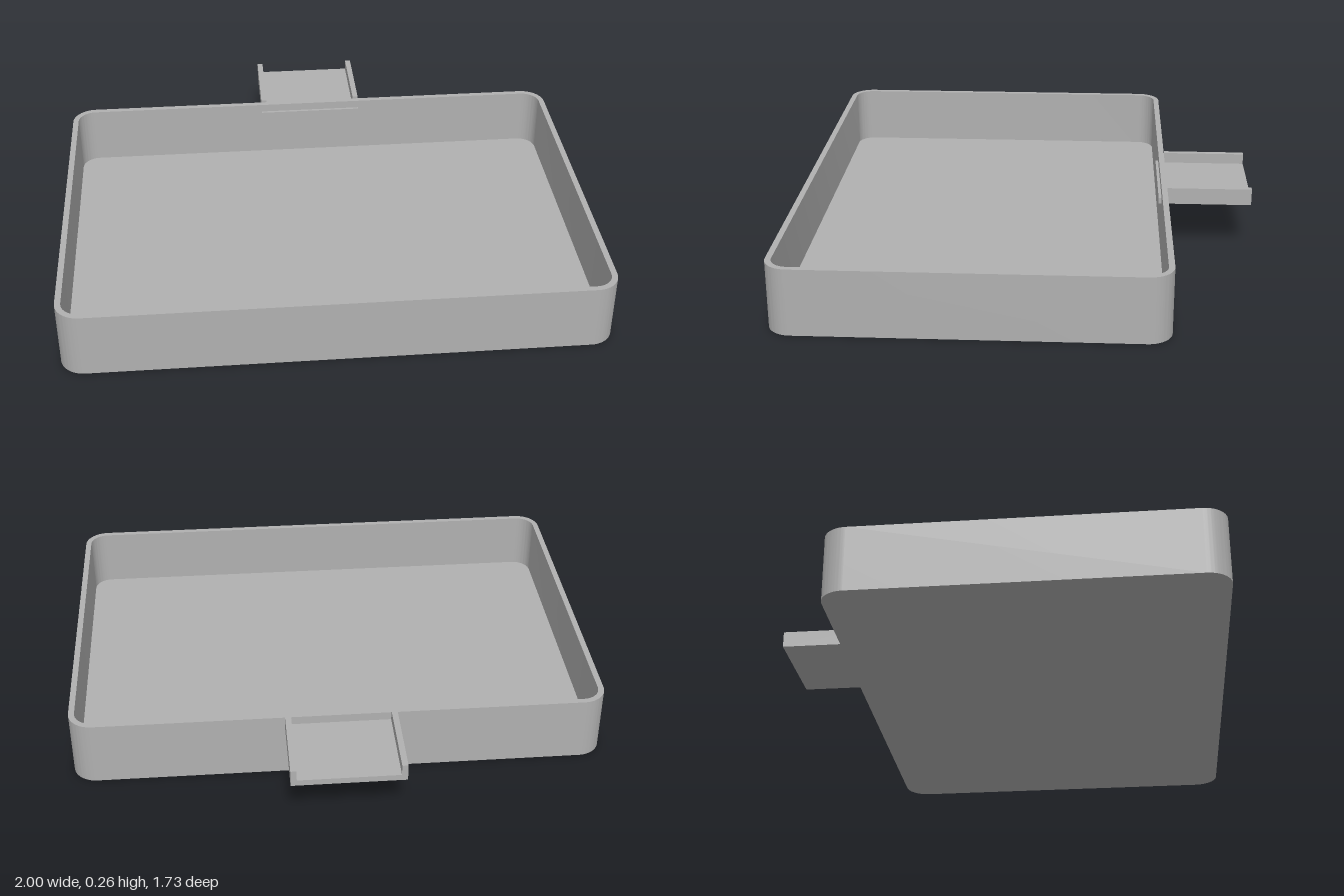
import * as THREE from 'three';
import { toCreasedNormals } from 'three/addons/utils/BufferGeometryUtils.js';

const HALF_X = 1, BACK = -0.543, FRONT = 0.863, HEIGHT = 0.25;
const RADIUS = 0.09, WALL = 0.022;

// Rounded rectangle around the tray's centre, shrunk by inset
function outline(target, inset) {
  const w = HALF_X - inset, d = (FRONT - BACK) / 2 - inset, r = RADIUS - inset;
  target.absarc(w - r, d - r, r, 0, Math.PI / 2);
  target.absarc(-w + r, d - r, r, Math.PI / 2, Math.PI);
  target.absarc(-w + r, -d + r, r, Math.PI, Math.PI * 1.5);
  target.absarc(w - r, -d + r, r, Math.PI * 1.5, Math.PI * 2);
  target.closePath();
  return target;
}

// Extrude upwards from y = 0, keeping the rounded corners smooth
function slab(shape, height) {
  const g = new THREE.ExtrudeGeometry(shape, { depth: height, bevelEnabled: false, curveSegments: 16 });
  g.rotateX(-Math.PI / 2).translate(0, 0, (FRONT + BACK) / 2);
  return toCreasedNormals(g, 0.5);
}

export function createModel() {
  const group = new THREE.Group();
  const grey = new THREE.MeshStandardMaterial({ color: 0xb0b0b0 });
  grey.name = 'grey';

  const add = (name, geometry) => {
    const mesh = new THREE.Mesh(geometry, grey);
    mesh.name = name;
    group.add(mesh);
  };
  const box = (name, x0, x1, y0, y1, z0, z1) => add(name,
    new THREE.BoxGeometry(x1 - x0, y1 - y0, z1 - z0)
      .translate((x0 + x1) / 2, (y0 + y1) / 2, (z0 + z1) / 2));

  // Open tray: rim wall and floor
  const ring = outline(new THREE.Shape(), 0);
  ring.holes.push(outline(new THREE.Path(), WALL));
  add('trayWall', slab(ring, HEIGHT));
  add('trayFloor', slab(outline(new THREE.Shape(), WALL), WALL));

  // Handle plate runs through the back wall and ends in a small inner lip
  box('handlePlate', -0.207, 0.207, 0.195, 0.218, -0.865, -0.51);

  // Raised rails along both sides of the handle
  for (const [name, side] of [['leftRail', 1], ['rightRail', -1]]) {
    const x = side * 0.196;
    box(name, x - 0.011, x + 0.011, 0.195, 0.259, -0.865, BACK);
  }
  return group;
}
